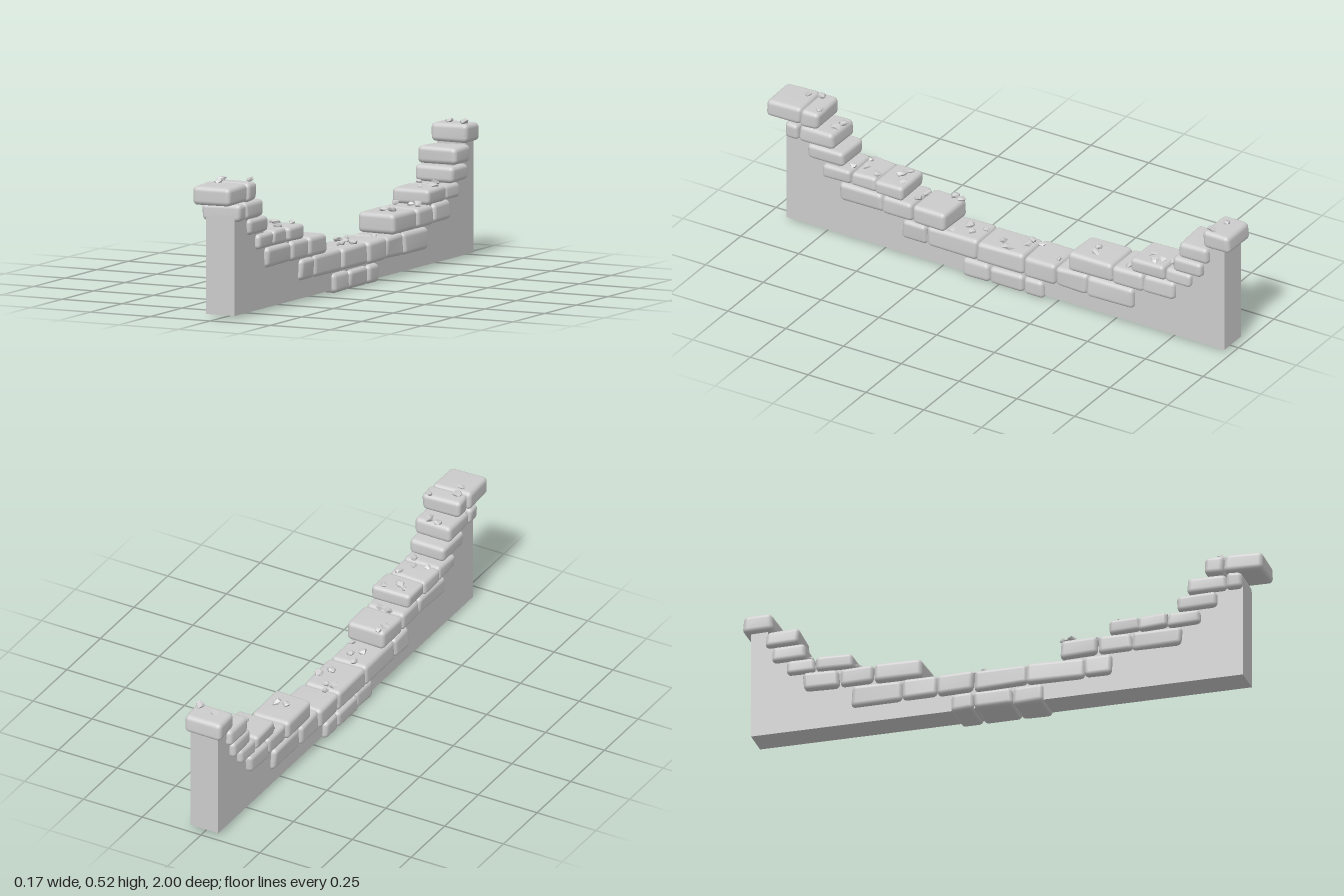
import * as THREE from 'three';
import { mergeVertices } from 'three/addons/utils/BufferGeometryUtils.js';
import { RoundedBoxGeometry } from 'three/addons/geometries/RoundedBoxGeometry.js';
import { ConvexGeometry } from 'three/addons/geometries/ConvexGeometry.js';

// Courses of stones: bottom, top, then runs of joint positions along z
const COURSES = [
  { y0: 0.003, y1: 0.075, runs: [[0.15, 0.035, -0.115, -0.2]] },
  { y0: 0.078, y1: 0.161, runs: [[0.415, 0.31, 0.09, -0.115, -0.255, -0.39, -0.585]] },
  { y0: 0.164, y1: 0.237, runs: [[0.685, 0.495, 0.365, 0.22], [-0.31, -0.5, -0.63, -0.77]] },
  { y0: 0.239, y1: 0.296, runs: [[0.755, 0.635, 0.525, 0.405], [-0.58, -0.725, -0.835]] },
  { y0: 0.298, y1: 0.36, runs: [[0.82, 0.67], [-0.765, -0.89]] },
  { y0: 0.362, y1: 0.426, runs: [[0.92, 0.86, 0.71], [-0.785, -0.915]] },
  { y0: 0.43, y1: 0.499, runs: [[1, 0.85, 0.775], [-0.89, -1]] },
];

// Rubble positions: x, z
const RUBBLE = [
  [-0.02, -0.935], [0.05, -0.915], [-0.05, -0.745], [0.02, -0.74], [0.03, -0.69], [0.015, -0.64],
  [0.05, -0.67], [-0.05, -0.56], [0.015, -0.565], [0.045, -0.56], [-0.01, -0.39], [0.025, -0.395],
  [0.03, -0.24], [-0.03, -0.13], [-0.04, -0.085], [-0.01, -0.085], [0.05, -0.035], [0.02, 0.005],
  [-0.02, 0.1], [0.02, 0.14], [-0.015, 0.17], [-0.05, 0.23], [-0.06, 0.26], [0.05, 0.21],
  [-0.015, 0.36], [0.025, 0.37], [-0.04, 0.44], [-0.01, 0.46], [0.04, 0.43], [0.04, 0.54],
  [-0.04, 0.615], [0.01, 0.6], [0.035, 0.645], [-0.02, 0.72], [0.02, 0.73], [0.05, 0.78],
  [-0.045, 0.83], [-0.03, 0.88],
];

let seed = 7;
function rand(a = 0, b = 1) {
  seed = (seed * 16807) % 2147483647;
  return a + (b - a) * (seed / 2147483647);
}

// Soft-edged block whose eight corners are nudged, blended over all vertices
function stoneGeometry(w, h, d) {
  const radius = Math.min(0.018, h * 0.28, d * 0.28);
  let geo = new RoundedBoxGeometry(w, h, d, 3, radius);
  geo.deleteAttribute('normal');
  geo.deleteAttribute('uv');
  geo.clearGroups();
  geo = mergeVertices(geo, 1e-5);
  const nudges = Array.from({ length: 8 }, () =>
    new THREE.Vector3(rand(-0.005, 0.004), rand(-0.004, 0.002), rand(-0.005, 0.005)));
  const pos = geo.attributes.position;
  const p = new THREE.Vector3();
  for (let i = 0; i < pos.count; i++) {
    p.fromBufferAttribute(pos, i);
    const t = [p.x / w + 0.5, p.y / h + 0.5, p.z / d + 0.5];
    for (let c = 0; c < 8; c++) {
      const weight = t.reduce((s, v, k) => s * ((c >> k) & 1 ? v : 1 - v), 1);
      p.addScaledVector(nudges[c], weight);
    }
    pos.setXYZ(i, p.x, p.y, p.z);
  }
  geo.computeVertexNormals();
  return geo;
}

// Small angular chip
function chipGeometry(size) {
  const points = [];
  for (let i = 0; i < 10; i++) {
    const up = 1 - (2 * (i + 0.5)) / 10;
    const a = i * 2.4 + rand(-0.4, 0.4);
    const r = Math.sqrt(1 - up * up);
    points.push(new THREE.Vector3(Math.cos(a) * r, up * 0.75, Math.sin(a) * r)
      .multiplyScalar(size * rand(0.75, 1.15)));
  }
  return new ConvexGeometry(points);
}

// Highest stone top at a position along the wall
function topAt(z) {
  let top = 0;
  for (const { y1, runs } of COURSES) {
    for (const run of runs) if (z <= run[0] && z >= run[run.length - 1]) top = Math.max(top, y1);
  }
  return top;
}

export function createModel() {
  const model = new THREE.Group();
  const stoneMaterial = new THREE.MeshStandardMaterial({ color: 0xcccccc });
  const chipMaterial = new THREE.MeshStandardMaterial({ color: 0xcccccc, flatShading: true });

  // Plain wall core, stepped along its top so that the stones cover it
  const outline = [
    [0.92, 0.012], [0.92, 0.385], [0.73, 0.385], [0.73, 0.33], [0.69, 0.33], [0.69, 0.27],
    [0.43, 0.27], [0.43, 0.2], [0.24, 0.2], [0.24, 0.12], [-0.33, 0.12], [-0.33, 0.2],
    [-0.6, 0.2], [-0.6, 0.27], [-0.785, 0.27], [-0.785, 0.33], [-0.805, 0.33], [-0.805, 0.4],
    [-0.91, 0.4], [-0.91, 0.45], [-0.975, 0.45], [-0.975, 0.012],
  ].map(([z, y]) => new THREE.Vector2(-z, y));
  const coreGeometry = new THREE.ExtrudeGeometry(new THREE.Shape(outline), { depth: 0.118, bevelEnabled: false });
  coreGeometry.translate(0, 0, -0.059);
  coreGeometry.rotateY(Math.PI / 2);
  const core = new THREE.Mesh(coreGeometry, stoneMaterial);
  core.name = 'wallCore';
  model.add(core);

  // Stepped courses of stones
  COURSES.forEach(({ y0, y1, runs }, row) => {
    const course = new THREE.Group();
    course.name = `stoneCourse${row + 1}`;
    for (const run of runs) {
      for (let i = 0; i < run.length - 1; i++) {
        const length = run[i] - run[i + 1];
        const stone = new THREE.Mesh(stoneGeometry(rand(0.149, 0.161), y1 - y0, length), stoneMaterial);
        stone.position.set(rand(-0.003, 0.003), (y0 + y1) / 2, (run[i] + run[i + 1]) / 2);
        stone.name = 'stone';
        course.add(stone);
      }
    }
    model.add(course);
  });

  // Loose rubble lying on the steps
  const rubble = new THREE.Group();
  rubble.name = 'rubble';
  for (const [x, z] of RUBBLE) {
    const size = rand(0.014, 0.022);
    const chip = new THREE.Mesh(chipGeometry(size), chipMaterial);
    chip.position.set(x, topAt(z) + size * 0.3, z);
    chip.rotation.set(rand(-0.4, 0.4), rand(0, 6.28), rand(-0.4, 0.4));
    chip.scale.set(1.15, 0.8, 0.9);
    chip.name = 'rubbleChip';
    rubble.add(chip);
  }
  model.add(rubble);

  return model;
}
